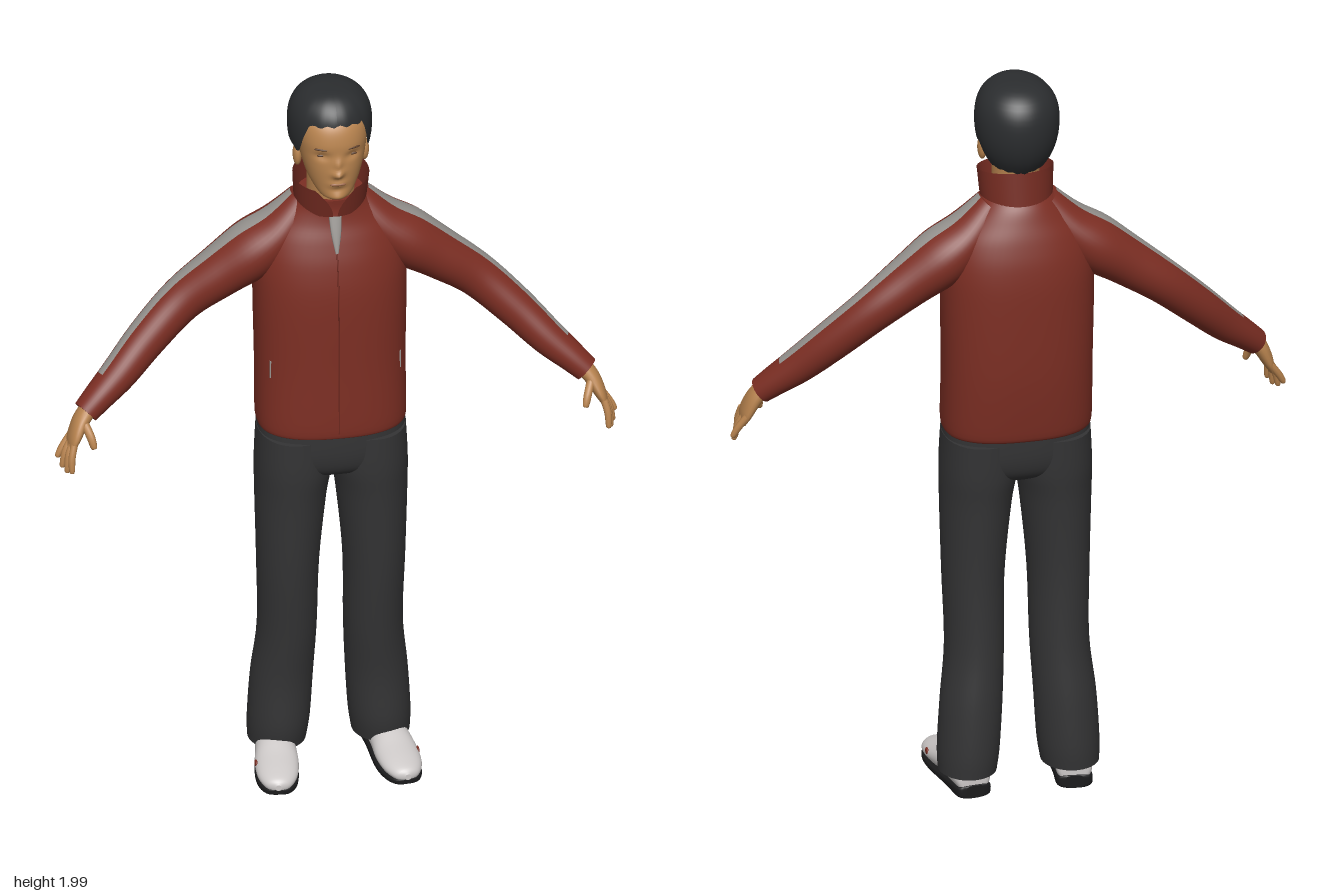
import * as THREE from 'three';

const mat = (name, color, side = THREE.FrontSide) => {
  const m = new THREE.MeshStandardMaterial({ color, side });
  m.name = name;
  return m;
};
const V = (x, y, z) => new THREE.Vector3(x, y, z);
const UP = V(0, 1, 0), FWD = V(0, 0, 1);

// Smooth value between table rows (Catmull-Rom on every column)
function sample(rows, t) {
  const i = Math.min(Math.floor(t), rows.length - 2), u = t - i;
  const at = k => rows[Math.max(0, Math.min(rows.length - 1, k))];
  const [p, q, r, s] = [at(i - 1), at(i), at(i + 1), at(i + 2)];
  return q.map((b, c) => b + 0.5 * u * (r[c] - p[c] + u * (2 * p[c] - 5 * b + 4 * r[c] - s[c] + u * (3 * (b - r[c]) + s[c] - p[c]))));
}

// Closed skin through oval sections [x, y, z, radiusA, radiusB, squareness = 2]
function loft(sections, { n = 32, steps = 5, axis = null, ref = FWD, accent = null } = {}) {
  const rows = sections.map(([x, y, z, a, b, e = 2]) => [x, y, z, a, b, e]);
  const pos = [], main = [], extra = [], total = (rows.length - 1) * steps;
  const centre = t => V(...sample(rows, t).slice(0, 3));
  for (let i = 0; i <= total; i++) {
    const t = i / steps, [x, y, z, a, b, e] = sample(rows, t);
    const T = axis ? axis.clone() : centre(Math.min(t + 0.1, rows.length - 1)).sub(centre(Math.max(t - 0.1, 0))).normalize();
    const B = ref.clone().addScaledVector(T, -ref.dot(T)).normalize();
    const A = T.clone().cross(B);
    for (let j = 0; j < n; j++) {
      const w = j / n * Math.PI * 2, c = Math.cos(w), s = Math.sin(w);
      const p = V(x, y, z)
        .addScaledVector(A, Math.sign(c) * Math.abs(c) ** (2 / e) * Math.max(a, 0.0005))
        .addScaledVector(B, Math.sign(s) * Math.abs(s) ** (2 / e) * Math.max(b, 0.0005));
      pos.push(p.x, p.y, p.z);
    }
  }
  for (let i = 0; i < total; i++) for (let j = 0; j < n; j++) {
    const k = (j + 1) % n, a = i * n + j, b = i * n + k, c = a + n, d = b + n;
    const list = accent && accent((j + 0.5) / n * Math.PI * 2, sample(rows, (i + 0.5) / steps)) ? extra : main;
    list.push(a, c, b, b, c, d);
  }
  // end caps
  for (const [ring, end] of [[0, 0], [total * n, rows.length - 1]]) {
    const o = pos.length / 3;
    for (let j = 0; j < n; j++) pos.push(...pos.slice((ring + j) * 3, (ring + j) * 3 + 3));
    pos.push(...rows[end].slice(0, 3));
    for (let j = 0; j < n; j++) {
      const k = (j + 1) % n;
      main.push(o + n, ...(end ? [o + k, o + j] : [o + j, o + k]));
    }
  }
  const g = new THREE.BufferGeometry();
  g.setAttribute('position', new THREE.Float32BufferAttribute(pos, 3));
  g.setIndex([...main, ...extra]);
  if (accent) {
    g.addGroup(0, main.length, 0);
    g.addGroup(main.length, extra.length, 1);
  }
  g.computeVertexNormals();
  return g;
}

// Open sheet from a grid function f(u, v)
function sheet(nu, nv, f) {
  const pos = [], idx = [];
  for (let i = 0; i <= nv; i++) for (let j = 0; j <= nu; j++) pos.push(...f(j / nu, i / nv));
  for (let i = 0; i < nv; i++) for (let j = 0; j < nu; j++) {
    const a = i * (nu + 1) + j, c = a + nu + 1;
    idx.push(a, a + 1, c, a + 1, c + 1, c);
  }
  const g = new THREE.BufferGeometry();
  g.setAttribute('position', new THREE.Float32BufferAttribute(pos, 3));
  g.setIndex(idx);
  g.computeVertexNormals();
  return g;
}

function mirrored(g) {
  const m = g.clone().scale(-1, 1, 1), ix = m.index.array;
  for (let i = 0; i < ix.length; i += 3) [ix[i], ix[i + 1]] = [ix[i + 1], ix[i]];
  m.computeVertexNormals();
  return m;
}
const blob = (x, y, z, rx, ry, rz) => new THREE.SphereGeometry(1, 20, 14).scale(rx, ry, rz).translate(x, y, z);

export function createModel() {
  const red = mat('jacketRed', 0x7c2e23), grey = mat('stripeGrey', 0x979490);
  const black = mat('trouserCharcoal', 0x343435), skin = mat('skin', 0xb9844f);
  const hairMat = mat('hairBlack', 0x2b2d2f, THREE.DoubleSide), shoeMat = mat('shoeWhite', 0xcdc9c8);
  const soleMat = mat('soleBlack', 0x1b1b1c), brown = mat('featureBrown', 0x5a3b26);
  const lipMat = mat('lip', 0x9a6546), collarMat = mat('collarRed', 0x742b21, THREE.DoubleSide);

  const model = new THREE.Group();
  model.name = 'standingMan';
  const add = (name, g, m) => {
    const mesh = new THREE.Mesh(g, m);
    mesh.name = name;
    model.add(mesh);
  };
  const pair = (name, g, m) => {
    add(name + 'Left', g, m);
    add(name + 'Right', mirrored(g), m);
  };

  // Jacket body
  add('jacketBody', loft([
    [0, 1.012, -0.02, 0.19, 0.131, 2.5], [0, 1.04, -0.022, 0.196, 0.14, 2.5], [0, 1.2, -0.032, 0.196, 0.147, 2.4],
    [0, 1.4, -0.035, 0.2, 0.146, 2.3], [0, 1.5, -0.038, 0.198, 0.136, 2.2], [0, 1.57, -0.04, 0.178, 0.118, 2.1],
    [0, 1.62, -0.04, 0.14, 0.1], [0, 1.66, -0.035, 0.105, 0.087], [0, 1.69, -0.022, 0.085, 0.075],
  ], { n: 56, axis: UP }), red);

  // Sleeves with a stripe along the top
  pair('sleeve', loft([
    [0.07, 1.655, -0.04, 0.04, 0.05], [0.13, 1.578, -0.04, 0.06, 0.08], [0.2, 1.517, -0.042, 0.075, 0.09],
    [0.285, 1.457, -0.043, 0.067, 0.076], [0.385, 1.383, -0.042, 0.058, 0.062], [0.48, 1.296, -0.013, 0.053, 0.056],
    [0.56, 1.217, 0.024, 0.047, 0.05], [0.62, 1.165, 0.05, 0.039, 0.043], [0.657, 1.132, 0.066, 0.034, 0.037],
  ], { n: 40, accent: (w, p) => Math.abs(w - Math.PI) < 0.32 && p[0] < 0.59 }), [red, grey]);

  // Stand-up collar, open at the front
  add('collar', sheet(48, 6, (u, v) => {
    const open = 0.06 + 0.5 * v * v, w = open + u * (2 * Math.PI - 2 * open), back = (1 - Math.cos(w)) / 2;
    const r = 0.094 + 0.006 * v;
    return [r * Math.sin(w), 1.645 + 0.02 * back + v * (0.083 + 0.01 * back), -0.03 + 0.016 * v + (0.087 + 0.003 * v) * Math.cos(w)];
  }), collarMat);

  // Zip, zip tab and pocket piping
  add('zip', loft([[0, 1.03, 0.116, 0.002, 0.003], [0, 1.2, 0.115, 0.002, 0.003], [0, 1.4, 0.111, 0.002, 0.003],
    [0, 1.5, 0.098, 0.002, 0.003], [0, 1.57, 0.078, 0.002, 0.003]], { n: 8 }), collarMat);
  add('zipTab', loft([[0, 1.55, 0.084, 0.004, 0.004], [0, 1.6, 0.069, 0.013, 0.005], [0, 1.645, 0.055, 0.017, 0.005]], { n: 12 }), grey);
  pair('pocketPiping', new THREE.BoxGeometry(0.004, 0.05, 0.008).translate(0.17, 1.205, 0.053), grey);

  // Trousers
  add('hips', loft([
    [0, 0.87, -0.016, 0.1, 0.06], [0, 0.9, -0.016, 0.18, 0.108, 2.4], [0, 0.95, -0.017, 0.194, 0.127, 2.5], [0, 1.03, -0.018, 0.19, 0.131, 2.5],
  ], { n: 48, axis: UP }), black);
  pair('trouserLeg', loft([
    [0.136, 0.055, -0.052, 0.076, 0.088], [0.132, 0.12, -0.048, 0.081, 0.095], [0.124, 0.25, -0.045, 0.081, 0.092],
    [0.113, 0.4, -0.03, 0.077, 0.094], [0.113, 0.6, -0.017, 0.081, 0.103], [0.106, 0.8, -0.015, 0.093, 0.115],
    [0.099, 0.9, -0.016, 0.1, 0.125, 2.2], [0.097, 1.0, -0.018, 0.097, 0.129, 2.2],
  ], { axis: UP }), black);

  // Shoes, toes turned slightly outward
  const place = g => g.rotateY(0.12).translate(0.148, 0, 0);
  pair('shoe', place(loft([
    [0, 0.045, -0.128, 0.02, 0.025], [0, 0.05, -0.118, 0.045, 0.042], [0, 0.053, -0.05, 0.05, 0.046], [0, 0.05, 0.02, 0.053, 0.043],
    [0, 0.041, 0.08, 0.057, 0.033], [0, 0.034, 0.135, 0.051, 0.026], [0, 0.029, 0.172, 0.033, 0.019], [0, 0.027, 0.184, 0.008, 0.008],
  ], { axis: FWD, ref: UP })), shoeMat);
  pair('sole', place(loft([
    [0, 0.018, -0.132, 0.025, 0.017, 4], [0, 0.018, -0.118, 0.047, 0.018, 4], [0, 0.013, -0.04, 0.049, 0.013, 4], [0, 0.011, 0.07, 0.057, 0.011, 4],
    [0, 0.011, 0.135, 0.051, 0.01, 4], [0, 0.012, 0.172, 0.034, 0.009, 4], [0, 0.014, 0.183, 0.012, 0.007, 4],
  ], { axis: FWD, ref: UP })), soleMat);
  pair('shoePatch', blob(0.212, 0.047, 0.08, 0.004, 0.01, 0.012), red);

  // Hands: palm, four fingers and a thumb
  pair('palm', loft([[0.645, 1.145, 0.064, 0.023, 0.026], [0.67, 1.113, 0.072, 0.021, 0.034], [0.69, 1.072, 0.084, 0.016, 0.041],
    [0.7, 1.045, 0.09, 0.009, 0.035]], { n: 20 }), skin);
  const finger = (a, b, c, r) => loft([[...a, r, r], [...b, r, r], [...c, r * 0.75, r * 0.75],
    [...c.map((q, i) => q + (q - b[i]) * 0.12), 0.001, 0.001]], { n: 10, steps: 4 });
  [0.012, -0.004, -0.008, 0].forEach((dy, i) => pair('finger' + (i + 1), finger(
    [0.695, 1.065, 0.055 + 0.021 * i], [0.718 - 0.005 * i, 1.032, 0.062 + 0.022 * i],
    [0.731 - 0.009 * i, 0.996 + dy, 0.066 + 0.023 * i], 0.0095), skin));
  pair('thumb', finger([0.665, 1.115, 0.092], [0.652, 1.085, 0.117], [0.645, 1.058, 0.128], 0.011), skin);

  // Neck and head, with the face shaped by soft bumps [x, y, widthX, widthY, depth]
  add('neck', loft([[0, 1.62, -0.03, 0.066, 0.066], [0, 1.7, -0.02, 0.062, 0.064], [0, 1.8, -0.02, 0.064, 0.07]], { axis: UP }), skin);
  const head = loft([
    [0, 1.713, 0.068, 0.02, 0.016], [0, 1.725, 0.05, 0.043, 0.046], [0, 1.76, 0.018, 0.066, 0.08, 2.1], [0, 1.8, 0.003, 0.079, 0.097, 2.2],
    [0, 1.84, -0.001, 0.087, 0.1, 2.2], [0, 1.88, -0.005, 0.092, 0.104, 2.2], [0, 1.92, -0.012, 0.093, 0.1, 2.1],
    [0, 1.95, -0.022, 0.085, 0.085], [0, 1.975, -0.03, 0.055, 0.055],
  ], { n: 72, steps: 8, axis: UP });
  const bumps = [[0, 1.797, 0.013, 0.011, 0.018], [0, 1.825, 0.009, 0.018, 0.011], [0.04, 1.846, 0.017, 0.011, -0.008],
    [-0.04, 1.846, 0.017, 0.011, -0.008], [0, 1.766, 0.02, 0.009, 0.006], [0, 1.726, 0.02, 0.01, 0.006], [0, 1.748, 0.02, 0.006, -0.003]];
  const hp = head.attributes.position;
  for (let i = 0; i < hp.count; i++) {
    if (hp.getZ(i) < 0.03) continue;
    let dz = 0;
    for (const [x, y, sx, sy, d] of bumps) dz += d * Math.exp(-(((hp.getX(i) - x) / sx) ** 2) - ((hp.getY(i) - y) / sy) ** 2);
    hp.setZ(i, hp.getZ(i) + dz);
  }
  head.computeVertexNormals();
  add('head', head, skin);
  pair('ear', blob(0.088, 1.803, -0.015, 0.012, 0.033, 0.019), skin);
  pair('eye', blob(0.04, 1.846, 0.081, 0.013, 0.0035, 0.0045), brown);
  pair('eyebrow', blob(0, 0, 0, 0.02, 0.003, 0.004).rotateY(0.35).translate(0.042, 1.867, 0.0885), brown);
  add('mouth', blob(0, 1.766, 0.1, 0.021, 0.0045, 0.0045), lipMat);

  // Hair cap: the hairline drops from forehead to sideburns to nape
  const line = [[0, 1.932], [0.72, 1.925], [0.98, 1.84], [1.2, 1.825], [1.35, 1.845], [1.7, 1.838], [1.95, 1.775], [Math.PI, 1.757]];
  const hairline = a => {
    const k = Math.max(1, line.findIndex(p => p[0] >= a - 1e-6)), [p, q] = [line[k - 1], line[k]];
    return p[1] + (q[1] - p[1]) * (a - p[0]) / (q[0] - p[0]);
  };
  add('hair', sheet(80, 18, (u, v) => {
    const w = u * Math.PI * 2, low = hairline(Math.min(w, Math.PI * 2 - w)) + 0.003 * Math.sin(w * 19);
    const y = low + (1.994 - low) * Math.sin(v * Math.PI / 2), h = (y - 1.885) / (y > 1.885 ? 0.109 : 0.16);
    const e = y > 1.885 ? 2.5 : 2, r = Math.max(0, 1 - Math.abs(h) ** e) ** (1 / e), front = Math.max(0, Math.cos(w));
    const z = -0.035 + r * Math.cos(w) * (0.119 + 0.011 * front);
    const lift = 0.008 * Math.exp(-(((z - 0.04) / 0.04) ** 2)) * v;
    return [0.11 * r * Math.sin(w), y + lift, z + 0.012 * front * r * v];
  }), hairMat);

  return model;
}
